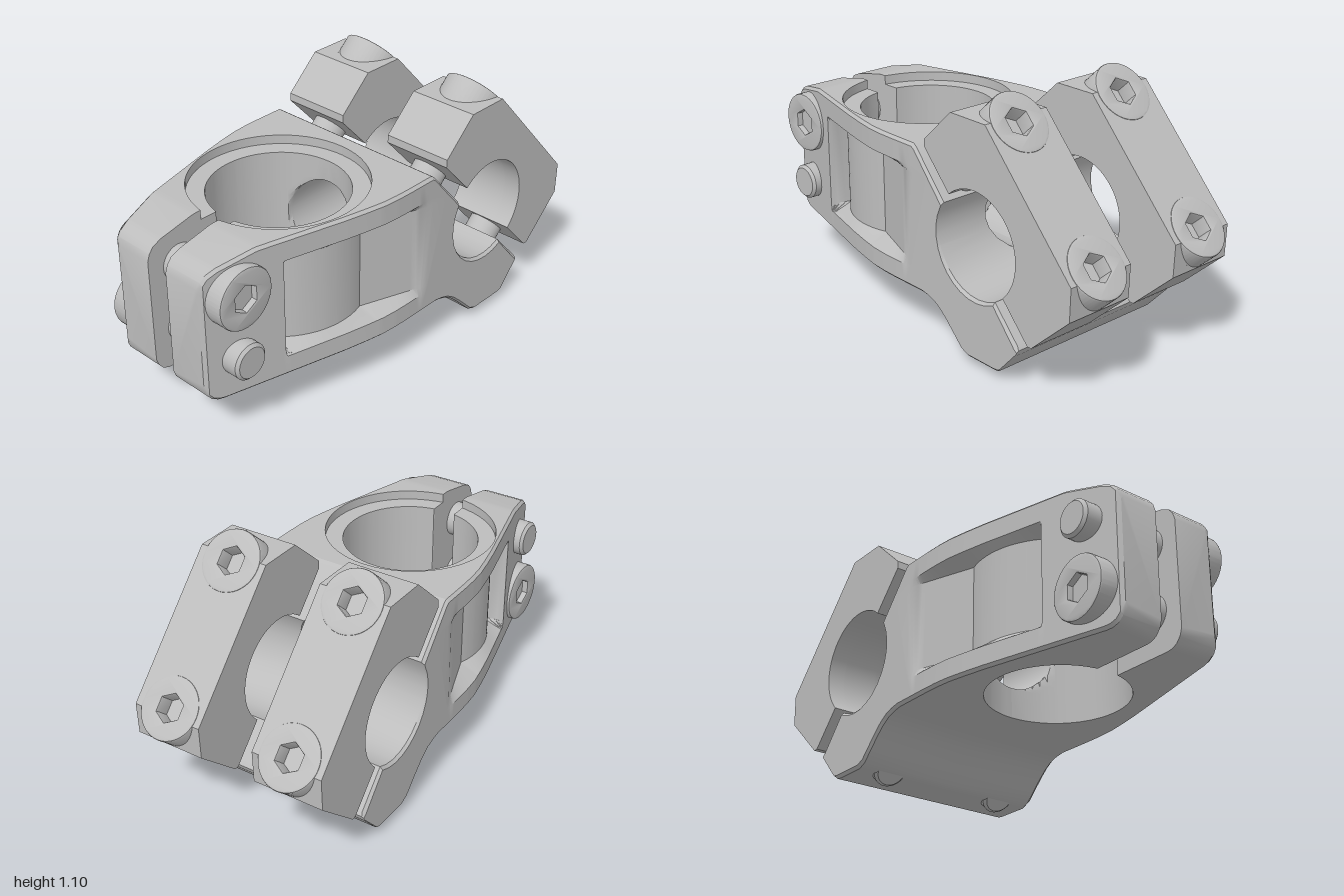
import * as THREE from 'three';
import { toCreasedNormals } from 'three/addons/utils/BufferGeometryUtils.js';

const metal = new THREE.MeshStandardMaterial({ color: 0xbdbdbd });
metal.name = 'grey metal';

const HALF = 0.435; // half width of the body
const BORE = { x: 0.425, y: 0.53, r: 0.225 }; // bar bore
const TUBE_X = -0.37; // axis of the upright tube hole
const CLAMP_ANGLE = Math.atan2(-0.735, 0.678); // direction of the clamp split

// piecewise linear lookup in a list of [x, value]
function lookup(table, x) {
  if (x <= table[0][0]) return table[0][1];
  for (let i = 1; i < table.length; i++) {
    const [x0, v0] = table[i - 1], [x1, v1] = table[i];
    if (x <= x1) return v0 + (v1 - v0) * (x - x0) / (x1 - x0);
  }
  return table[table.length - 1][1];
}
const halfChord = (r, d) => Math.sqrt(Math.max(0, r * r - d * d));

const topLine = [[-1, 0.74], [-0.99, 0.77], [-0.97, 0.795], [-0.93, 0.812], [-0.78, 0.843], [-0.76, 0.845]];
const bottomLine = [[-1, 0.29], [-0.99, 0.26], [-0.97, 0.235], [-0.945, 0.223], [-0.92, 0.22]];
const widthLine = [[-1, 0.222], [-0.988, 0.238], [-0.4, 0.39], [-0.3, 0.412], [-0.22, 0.427], [-0.15, 0.433], [-0.08, HALF]];

// half width of the hollow: slot, tube hole and lengthwise hole
function hollow(x, y, r) {
  let z = halfChord(r, x - TUBE_X);
  if (x < TUBE_X) z = Math.max(z, 0.05);
  else z = Math.max(z, halfChord(0.18, y - BORE.y));
  return z;
}

// depth of the side pocket, whose floor wraps round the tube hole
function pocketDepth(x) {
  if (x <= -0.665 || x >= 0.03) return 0;
  const outer = lookup(widthLine, x);
  const wrap = (v) => halfChord(0.35, v - TUBE_X);
  const floor = x < -0.635 ? THREE.MathUtils.lerp(lookup(widthLine, -0.665), wrap(-0.635), (x + 0.665) / 0.03)
    : x < -0.26 ? wrap(x)
      : THREE.MathUtils.lerp(wrap(-0.26), HALF, (x + 0.26) / 0.29);
  return Math.max(0, outer - floor);
}

// columns across the side profile: [bottom point, top point]
function profileColumns() {
  let xs = [-0.665, -0.635, -0.26, 0];
  for (const t of [topLine, bottomLine, widthLine]) xs.push(...t.map((p) => p[0]));
  for (let i = 0; i <= 28; i++) {
    const c = Math.cos(Math.PI * i / 28);
    xs.push(TUBE_X + 0.29 * c, TUBE_X + 0.365 * c);
  }
  xs.sort((a, b) => a - b);
  xs = xs.filter((x, i) => i === 0 || x - xs[i - 1] > 1e-4);
  const cols = xs.map((x) => [[x, lookup(bottomLine, x)], [x, lookup(topLine, x)]]);
  // upper split face
  for (const top of [[0.03, 0.845], [0.055, 0.845], [0.07, 0.835], [0.147, 0.747], [0.18, 0.71], [0.208, 0.679]]) cols.push([[0, 0.22], top]);
  // bore over the lower jaw
  const under = [[0, 0.22], [0.05, 0.22], [0.1, 0.22], [0.14, 0.213], [0.18, 0.2], [0.22, 0.175], [0.26, 0.14],
    [0.3, 0.1], [0.345, 0.055], [0.38, 0.04], [0.43, 0.04], [0.48, 0.04], [0.53, 0.04]];
  under.forEach((b, i) => {
    const a = THREE.MathUtils.degToRad(148 + 149.3 * i / 12);
    cols.push([b, [BORE.x + BORE.r * Math.cos(a), BORE.y + BORE.r * Math.sin(a)]]);
  });
  // jaw tip
  cols.push([[0.55, 0.043], [0.645, 0.203]], [[0.56, 0.05], [0.655, 0.192]], [[0.655, 0.155], [0.664, 0.178]]);
  return cols;
}

// one side of the body, lofted from closed sections along its length
function bodyHalf(side) {
  const rings = profileColumns().map(([b, t]) => {
    const h = t[1] - b[1], c = Math.min(0.012, h / 3);
    const ring = [];
    const add = (y, zAt) => {
      const f = (THREE.MathUtils.clamp(y, b[1], t[1]) - b[1]) / h;
      const x = b[0] + (t[0] - b[0]) * f, yy = b[1] + h * f;
      ring.push([x, yy, side * zAt(x, yy)]);
    };
    const bore = (x, y) => hollow(x, y, 0.29), seat = (x, y) => hollow(x, y, 0.365);
    const step = t[0] <= 0 ? 0.04 : 0;
    add(b[1], bore);
    for (let i = 0; i <= 16; i++) add(BORE.y - 0.18 * Math.cos(Math.PI * i / 16), bore);
    add(t[1] - step, bore);
    add(t[1] - step, step ? seat : bore);
    add(t[1], step ? seat : bore);
    const outer = [[t[1], c, 0], [t[1] - c, 0, 0], [0.75, 0, 0], [0.722, 0, 1], [0.342, 0, 1], [0.31, 0, 0], [b[1] + c, 0, 0], [b[1], c, 0]];
    outer.forEach(([y, inset, p], i) => {
      const yy = i === 0 || i === 7 ? y : THREE.MathUtils.clamp(y, b[1] + c, t[1] - c);
      add(yy, (x) => lookup(widthLine, x) - inset - p * pocketDepth(x));
    });
    return ring;
  });
  const n = rings[0].length, index = [];
  const tri = (a, b, c) => (side > 0 ? index.push(a, b, c) : index.push(a, c, b));
  for (let i = 0; i < rings.length - 1; i++) {
    for (let j = 0; j < n; j++) {
      const a = i * n + j, b = i * n + (j + 1) % n;
      tri(a, b, b + n);
      tri(a, b + n, a + n);
    }
  }
  const last = (rings.length - 1) * n;
  for (let k = 1; k < n - 1; k++) {
    tri(0, k + 1, k);
    tri(last, last + k, last + k + 1);
  }
  const g = new THREE.BufferGeometry();
  g.setAttribute('position', new THREE.Float32BufferAttribute(rings.flat(2), 3));
  g.setIndex(index);
  return toCreasedNormals(g, 0.5);
}

function mesh(geometry, name, parent) {
  const m = new THREE.Mesh(geometry, metal);
  m.name = name;
  parent.add(m);
  return m;
}

// bolt along local z: head face at z = 0, shank reaching back to -length
function makeBolt(name, length, shankR, depth) {
  const bolt = new THREE.Group();
  bolt.name = name;
  const ring = new THREE.Shape().absarc(0, 0, 0.122, 0, Math.PI * 2);
  const hex = [];
  for (let i = 0; i < 6; i++) hex.push(new THREE.Vector2(0, 0.068).rotateAround(new THREE.Vector2(), i * Math.PI / 3));
  ring.holes.push(new THREE.Path(hex));
  const head = new THREE.ExtrudeGeometry(ring, { depth: 0.12, bevelEnabled: true, bevelSize: 0.008, bevelThickness: 0.008, bevelSegments: 2, curveSegments: 24 });
  head.translate(0, 0, -0.128);
  mesh(toCreasedNormals(head, 0.4), 'boltHead', bolt);
  const floor = new THREE.CylinderGeometry(0.1, 0.1, 0.03, 24).rotateX(Math.PI / 2);
  mesh(floor, 'socketFloor', bolt).position.z = -depth - 0.015;
  const pts = [[0, -length], [shankR - 0.012, -length], [shankR, -length + 0.012], [shankR, -depth - 0.01]];
  const shank = new THREE.LatheGeometry(pts.map((p) => new THREE.Vector2(...p)), 32).rotateX(Math.PI / 2);
  mesh(toCreasedNormals(shank, 0.5), 'boltShank', bolt);
  return bolt;
}

// clamp cap profile; the notched version leaves room for the bolt sockets
function capShape(notched) {
  const s = new THREE.Shape();
  const pts = [[0.225, 0.006], [0.425, 0.006], [0.44, 0.02], [0.44, 0.285]];
  if (notched) pts.push([0.385, 0.339], [0.385, 0.29], [0.22, 0.29], [0.22, 0.382], [-0.22, 0.382], [-0.22, 0.29], [-0.385, 0.29], [-0.385, 0.32]);
  else pts.push([0.341, 0.382], [-0.328, 0.382]);
  pts.push([-0.459, 0.241], [-0.459, 0.03], [-0.435, 0.006], [-0.225, 0.006]);
  pts.forEach(([a, b], i) => (i ? s.lineTo(a, b) : s.moveTo(a, b)));
  s.absarc(0, 0, 0.225, Math.PI - 0.027, 0.027, true);
  return s;
}

export function createModel() {
  const model = new THREE.Group();
  model.name = 'handlebarStem';

  for (const side of [1, -1]) mesh(bodyHalf(side), side > 0 ? 'bodyFrontHalf' : 'bodyBackHalf', model);

  // two clamp caps, each with two bolts, in the tilted frame of the split
  const clamp = new THREE.Group();
  clamp.name = 'barClamp';
  clamp.position.set(BORE.x, BORE.y, 0);
  clamp.rotation.z = CLAMP_ANGLE;
  model.add(clamp);
  for (const side of [1, -1]) {
    const cap = new THREE.Group();
    cap.name = side > 0 ? 'frontCap' : 'backCap';
    clamp.add(cap);
    const mid = side * 0.28;
    for (const [from, to, notched] of [[-0.155, -0.078, false], [-0.078, 0.078, true], [0.078, 0.155, false]]) {
      const g = new THREE.ExtrudeGeometry(capShape(notched), { depth: to - from, bevelEnabled: false, curveSegments: 32 });
      mesh(toCreasedNormals(g, 0.4), 'capSlice', cap).position.z = mid + from;
    }
    for (const [a, length] of [[-0.303, 0.68], [0.308, 0.757]]) {
      const bolt = makeBolt('clampBolt', length, 0.073, 0.075);
      bolt.rotation.set(-Math.PI / 2, 0, Math.PI / 2, 'XYZ');
      bolt.position.set(a, 0.386, mid);
      cap.add(bolt);
    }
  }

  // pinch bolts, one from each side
  const upper = makeBolt('upperPinchBolt', 0.652, 0.077, 0.027);
  upper.position.set(-0.853, 0.675, 0.318);
  const lower = makeBolt('lowerPinchBolt', 0.652, 0.077, 0.027);
  lower.position.set(-0.853, 0.395, -0.318);
  lower.rotation.y = Math.PI;
  model.add(upper, lower);
  return model;
}
